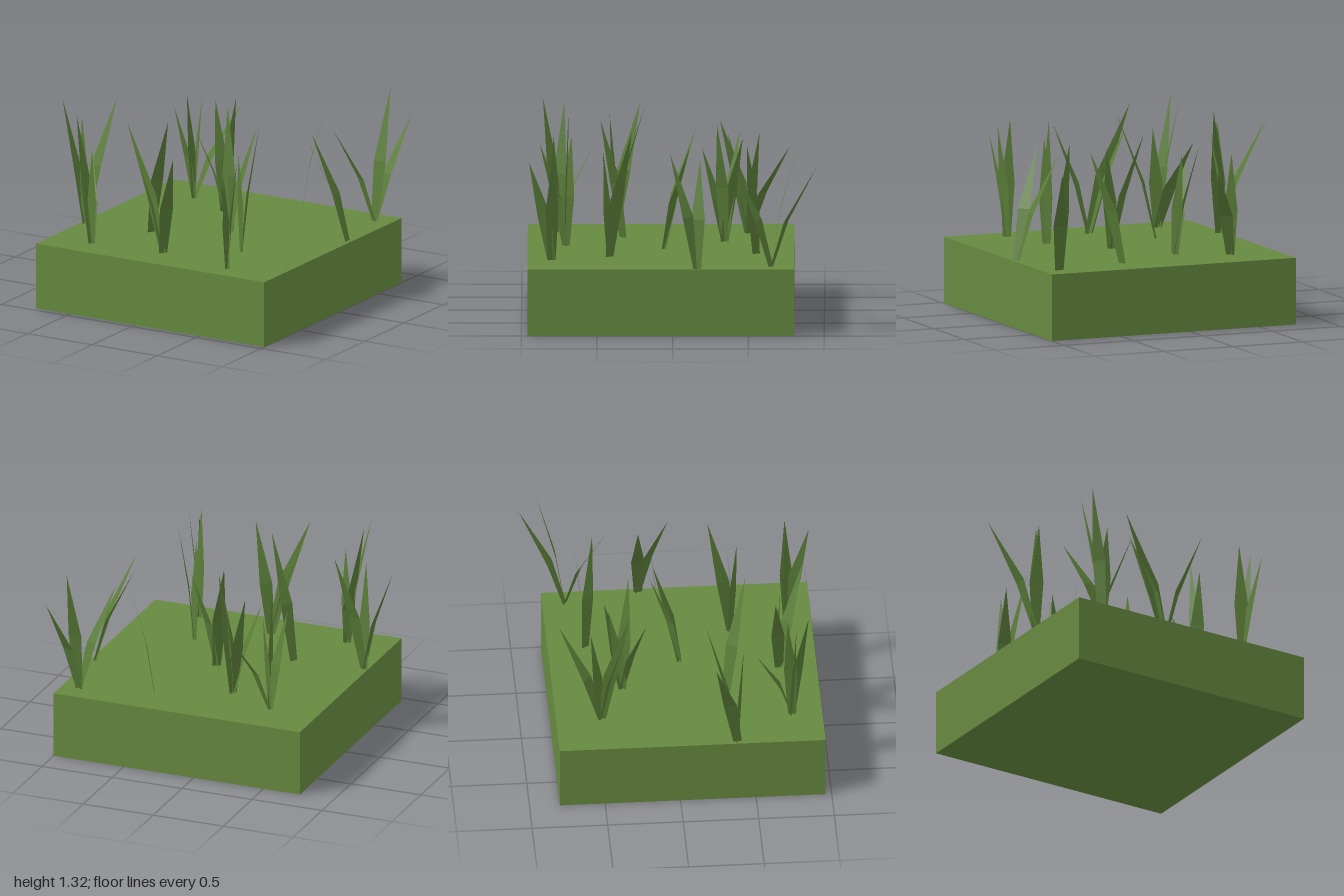
import * as THREE from 'three';

const GROUND = 0.445;

// Tufts: base [x, z], then blades as [tip x, tip y, tip z, optional width angle in degrees]
const tufts = [
  { base: [-0.73, 0.38], blades: [[-1.0, 1.22, 0.22, 90], [-0.6, 1.29, 0.18, 10], [-0.73, 1.19, 0.42, 20]] },
  { base: [-0.45, 0.76], blades: [[-0.6, 1.04, 0.51, 0], [-0.59, 1.32, 0.86], [-0.59, 1.29, 0.72], [-0.43, 1.1, 0.79, 20]] },
  { base: [-0.42, -0.5], blades: [[-0.21, 1.06, -0.77], [-0.36, 1.21, -0.31, 90], [-0.49, 1.1, -0.36], [-0.4, 1.12, -0.57, 45]] },
  { base: [-0.09, -0.34], blades: [[-0.22, 1.17, -0.44], [-0.24, 1.05, -0.19], [-0.09, 1.14, -0.46, 60], [0.03, 1.25, -0.29]] },
  { base: [0.19, 0.06], blades: [[0.05, 1.23, -0.15], [0.3, 1.14, -0.11]] },
  { base: [0.07, 0.71], blades: [[-0.22, 1.3, 0.69, 10], [0.25, 1.16, 0.88], [-0.18, 1.14, 0.67, 80]] },
  { base: [-0.25, 0.33], blades: [[-0.03, 1.27, 0.48]] },
  { base: [0.5, 0.42], blades: [[0.55, 1.29, 0.27, 70], [0.5, 1.14, 0.46, 35]] },
  { base: [0.62, 0.8], blades: [[0.68, 1.11, 0.95, 90], [0.6, 1.23, 0.79, 30], [0.69, 1.19, 0.79, 70]] },
  { base: [0.38, -0.55], blades: [[0.59, 1.2, -0.49, 60]] },
  { base: [0.88, -0.65], blades: [[0.99, 1.13, -0.95], [0.89, 1.32, -0.84, 0], [0.72, 1.11, -0.39]] },
  { base: [0.97, -0.16], blades: [[0.68, 1.13, -0.18, 90], [0.74, 1.18, 0.02]] },
];

// Bent blade: narrow foot, wide middle, pointed tip
function bladeGeometry([bx, bz], [tx, ty, tz, deg]) {
  const angle = deg === undefined ? Math.atan2(tx - bx, bz - tz) : THREE.MathUtils.degToRad(deg);
  const wide = new THREE.Vector3(Math.cos(angle), 0, Math.sin(angle));
  const foot = new THREE.Vector3(bx, GROUND - 0.01, bz);
  const tip = new THREE.Vector3(tx, ty, tz);
  const mid = foot.clone().lerp(tip, 0.33);
  mid.y = THREE.MathUtils.lerp(foot.y, ty, 0.46);
  const at = (p, w) => p.clone().addScaledVector(wide, w);
  const a = at(foot, -0.027), b = at(foot, 0.027), c = at(mid, 0.045), d = at(mid, -0.045);
  const geo = new THREE.BufferGeometry().setFromPoints([a, b, c, a, c, d, d, c, tip]);
  geo.computeVertexNormals();
  return geo;
}

export function createModel() {
  const model = new THREE.Group();
  model.name = 'grassBlock';

  // Block of turf
  const soil = new THREE.Mesh(
    new THREE.BoxGeometry(1.76, GROUND, 1.76),
    new THREE.MeshStandardMaterial({ color: 0x66893f })
  );
  soil.name = 'turfBlock';
  soil.position.set(0.12, GROUND / 2, 0.08);
  model.add(soil);

  // Grass tufts
  const grass = new THREE.MeshStandardMaterial({ color: 0x5a7d38, side: THREE.DoubleSide, flatShading: true });
  for (const { base, blades } of tufts) {
    const tuft = new THREE.Group();
    tuft.name = 'grassTuft';
    for (const tip of blades) {
      const blade = new THREE.Mesh(bladeGeometry(base, tip), grass);
      blade.name = 'grassBlade';
      tuft.add(blade);
    }
    model.add(tuft);
  }
  return model;
}
